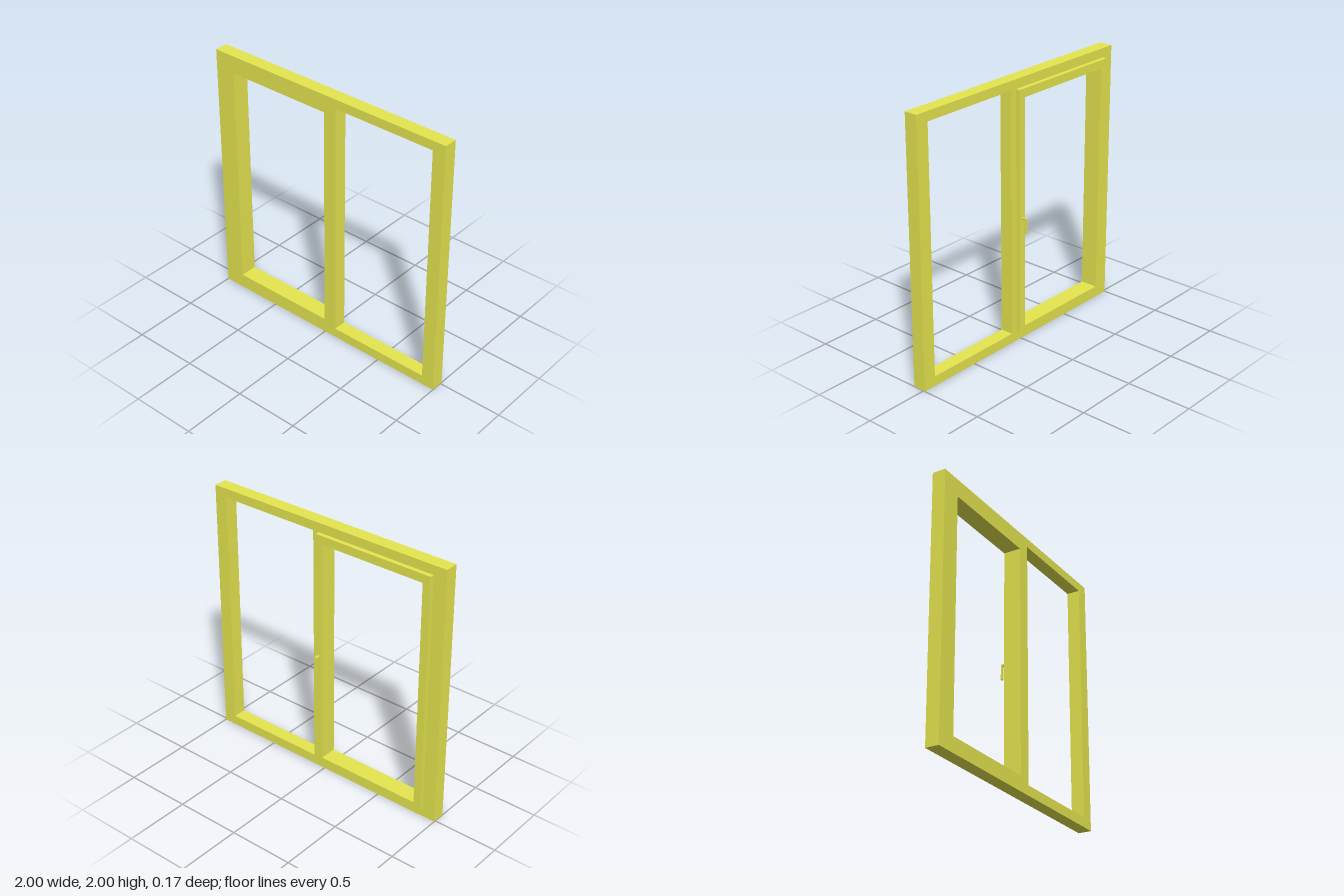
import * as THREE from 'three';

const material = new THREE.MeshStandardMaterial({ color: 0xe6e650 });

// Closed rectangle given by its left, right, bottom and top edges
function rectangle(PathType, [x0, x1, y0, y1]) {
  const path = new PathType();
  path.moveTo(x0, y0);
  path.lineTo(x1, y0);
  path.lineTo(x1, y1);
  path.lineTo(x0, y1);
  path.closePath();
  return path;
}

// Rectangular panel with rectangular openings, spanning z0 to z1
function panel(name, outer, openings, z0, z1) {
  const shape = rectangle(THREE.Shape, outer);
  for (const opening of openings) shape.holes.push(rectangle(THREE.Path, opening));
  const geometry = new THREE.ExtrudeGeometry(shape, { depth: z1 - z0, bevelEnabled: false });
  geometry.translate(0, 0, z0);
  const mesh = new THREE.Mesh(geometry, material);
  mesh.name = name;
  return mesh;
}

// Box given by its extents on each axis
function block(name, [x0, x1], [y0, y1], [z0, z1]) {
  const mesh = new THREE.Mesh(new THREE.BoxGeometry(x1 - x0, y1 - y0, z1 - z0), material);
  mesh.position.set((x0 + x1) / 2, (y0 + y1) / 2, (z0 + z1) / 2);
  mesh.name = name;
  return mesh;
}

export function createModel() {
  const model = new THREE.Group();
  model.name = 'window';

  const sashOpening = [-0.84, -0.005, 0.113, 1.866];
  const fixedOpening = [0.098, 0.9, 0.075, 1.93];
  const frameBack = -0.014, sashBack = -0.047;

  // Outer frame with its centre post
  model.add(panel('frame', [-1, 1, 0, 2], [sashOpening, fixedOpening], frameBack, 0.087));

  // Opening sash, standing proud of the back of the frame
  model.add(panel('sash', [-0.9, 0.05, 0.075, 1.93], [sashOpening], sashBack, frameBack));

  // L-shaped handle on the sash stile
  const handle = new THREE.Group();
  handle.name = 'handle';
  handle.add(block('handleStem', [0.016, 0.031], [0.97, 0.985], [-0.075, sashBack]));
  handle.add(block('handleGrip', [0.016, 0.031], [0.868, 0.985], [-0.087, -0.075]));
  model.add(handle);

  return model;
}
